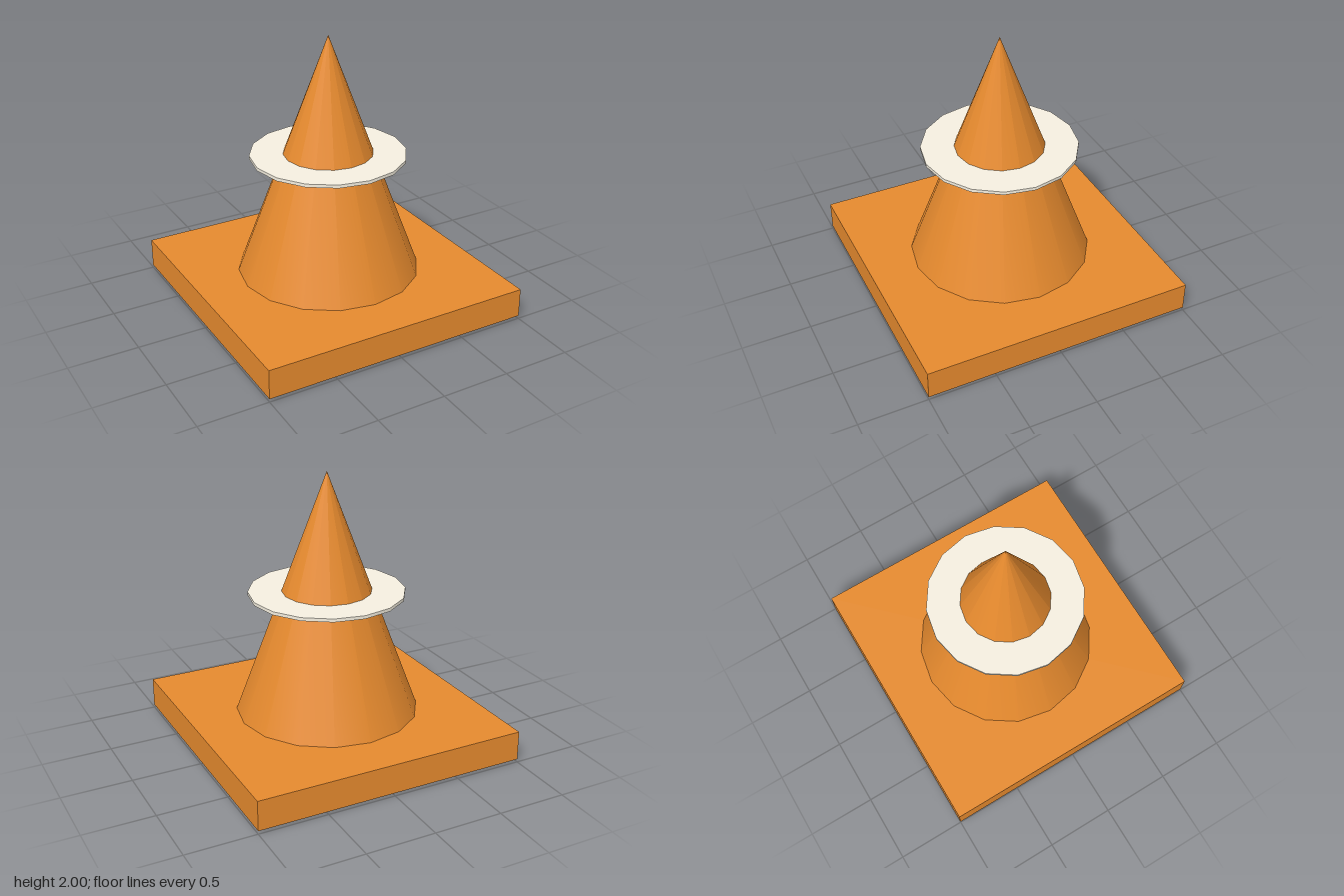
import * as THREE from 'three';

export function createModel() {
  const group = new THREE.Group();
  const orange = new THREE.MeshStandardMaterial({ color: 0xe68a2e });
  const white = new THREE.MeshStandardMaterial({ color: 0xf5efe0 });

  const add = (name, geometry, material, y) => {
    const mesh = new THREE.Mesh(geometry, material);
    mesh.name = name;
    mesh.position.y = y;
    group.add(mesh);
  };

  // Square base slab, raised slightly off the ground
  add('base', new THREE.BoxGeometry(2, 0.216, 2), orange, 0.13);

  // Sixteen-sided cone passing through the slab down to the ground
  add('cone', new THREE.ConeGeometry(0.75, 2, 16), orange, 1);

  // Thin pale disc around the cone
  add('collar', new THREE.CylinderGeometry(0.56, 0.56, 0.024, 16), white, 1.13);

  return group;
}
